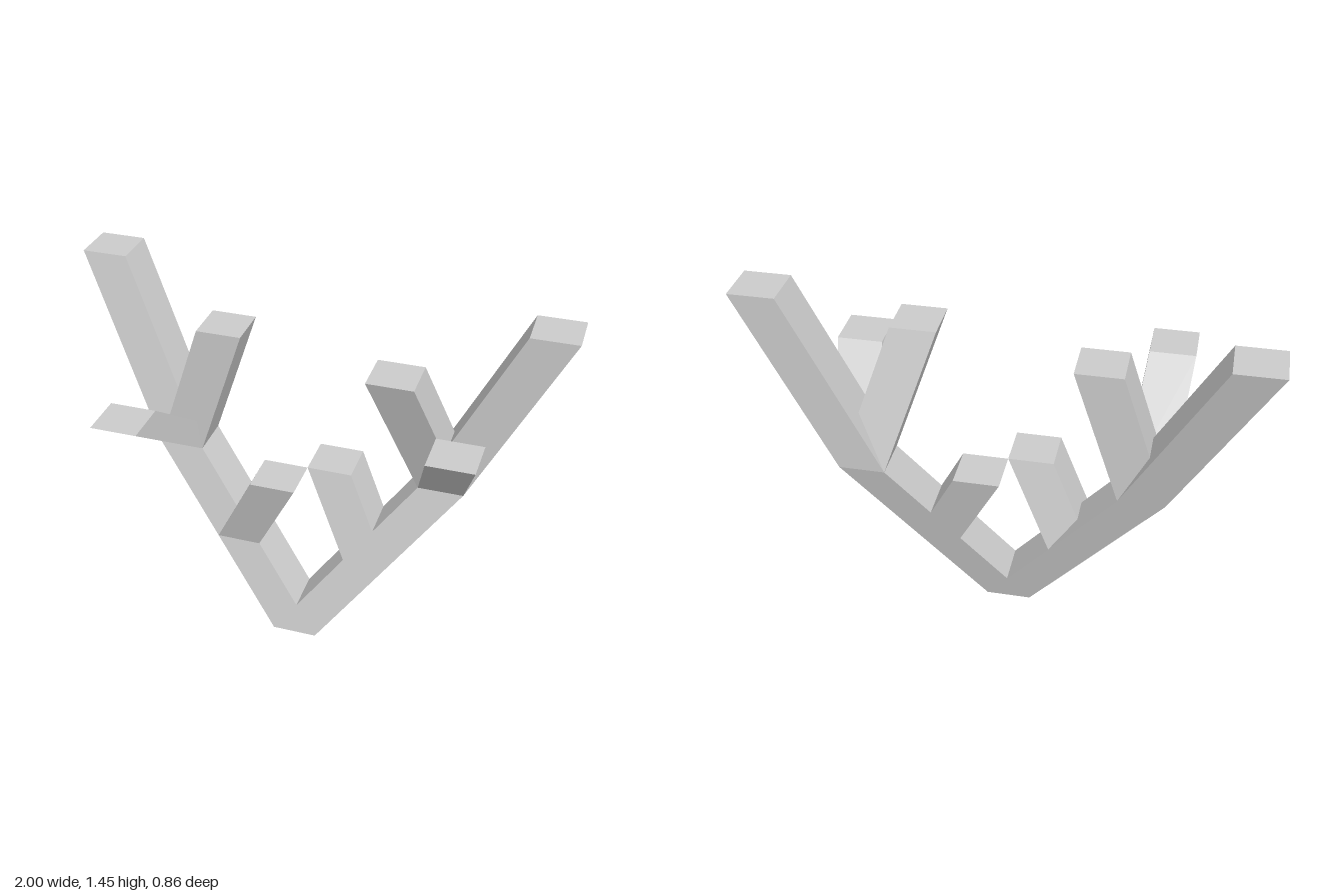
import * as THREE from 'three';

const U = 2 / 11; // thickness of every branch; all coordinates below are in this unit
const Z0 = U / 8; // shift that centres the model in depth

const material = new THREE.MeshStandardMaterial({ color: 0xcccccc, flatShading: true });

// A square beam with level ends, sheared from the centre of its foot to the centre of its tip
function beam(name, foot, tip) {
  const geometry = new THREE.BoxGeometry(1, 1, 1);
  const a = new THREE.Vector3(...foot);
  const b = new THREE.Vector3(...tip);
  const pos = geometry.attributes.position;
  for (let i = 0; i < pos.count; i++) {
    const end = pos.getY(i) < 0 ? a : b;
    pos.setXYZ(i, (pos.getX(i) + end.x) * U, end.y * U, (pos.getZ(i) + end.z) * U + Z0);
  }
  geometry.computeVertexNormals();
  const mesh = new THREE.Mesh(geometry, material);
  mesh.name = name;
  return mesh;
}

// One antler: the trunk and fork are mirrored, the tips differ per side
function antler(name, side, tips) {
  const group = new THREE.Group();
  group.name = name;
  const root = [0, 0, 0];
  const middle = [side * 1.5, 2, -0.5];
  const fork = [side * 3, 4, -1];
  group.add(
    beam('trunk', root, fork),
    beam('innerTine', middle, [side * 0.5, 4, tips.innerZ]),
    beam('mainTine', fork, [side * 5, 8, tips.mainZ]),
    beam('upperTine', fork, [side * 2, 7, tips.upperZ]),
    beam('frontTine', fork, [side * tips.frontX, 6, tips.frontZ])
  );
  return group;
}

export function createModel() {
  const model = new THREE.Group();
  model.name = 'antlers';
  model.add(
    antler('leftAntler', 1, { innerZ: -1, mainZ: -1, upperZ: 0, frontX: 3.5, frontZ: 1 }),
    antler('rightAntler', -1, { innerZ: 0, mainZ: -2, upperZ: -1, frontX: 3.25, frontZ: 1.75 })
  );
  return model;
}
